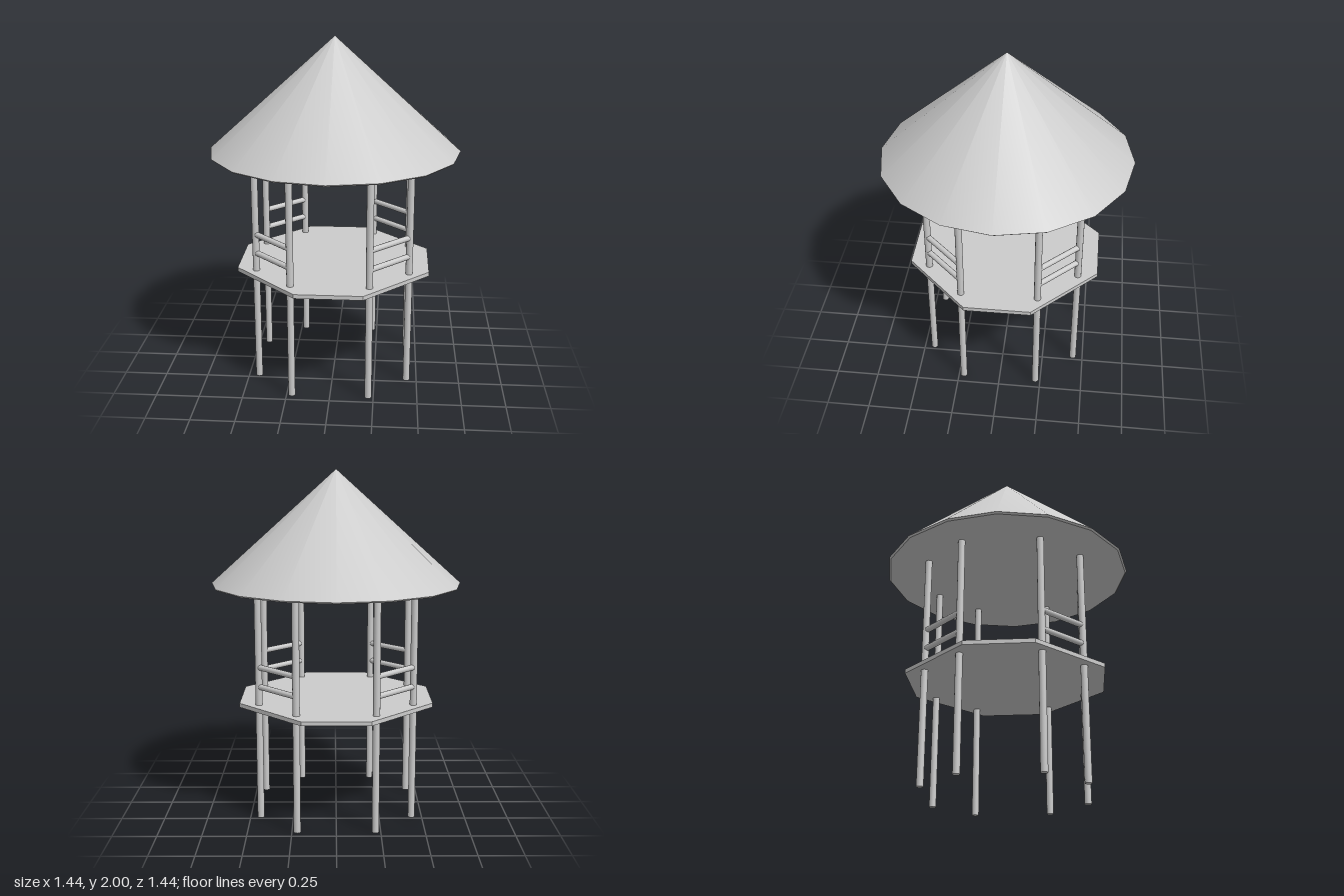
import * as THREE from 'three';

const material = new THREE.MeshStandardMaterial({ color: 0xcccccc });

function addPart(parent, name, geometry, x = 0, y = 0, z = 0) {
  const mesh = new THREE.Mesh(geometry, material);
  mesh.name = name;
  mesh.position.set(x, y, z);
  parent.add(mesh);
  return mesh;
}

export function createModel() {
  const model = new THREE.Group();
  model.name = 'raisedPavilion';

  // Conical roof with a thin closed rim underneath
  const roofBase = 1.352, rim = 0.009;
  const roof = new THREE.Group();
  roof.name = 'roof';
  addPart(roof, 'roofCone', new THREE.ConeGeometry(0.72, 2 - roofBase, 16, 1, true), 0, (2 + roofBase) / 2, 0);
  addPart(roof, 'roofRim', new THREE.CylinderGeometry(0.72, 0.71, rim, 16), 0, roofBase - rim / 2, 0);
  model.add(roof);

  // Eight-sided platform: a square with large cut corners
  const a = 0.555, b = 0.19, thickness = 0.024;
  const outline = [[a, -b], [a, b], [b, a], [-b, a], [-a, b], [-a, -b], [-b, -a], [b, -a]];
  const shape = new THREE.Shape(outline.map(([x, y]) => new THREE.Vector2(x, y)));
  const floor = new THREE.ExtrudeGeometry(shape, { depth: thickness, bevelEnabled: false });
  floor.rotateX(-Math.PI / 2);
  addPart(model, 'platform', floor, 0, 0.656, 0);

  // One pair of posts joined by two rails at each corner
  const far = 0.44, near = 0.22, postHeight = 1.346;
  const post = new THREE.CylinderGeometry(0.02, 0.02, postHeight, 12);
  const rail = new THREE.CylinderGeometry(0.0165, 0.0165, (far - near) * Math.SQRT2, 12);
  rail.rotateZ(Math.PI / 2);
  rail.rotateY(Math.PI / 4);
  const mid = (far + near) / 2;
  for (let i = 0; i < 4; i++) {
    const corner = new THREE.Group();
    corner.name = `postPair${i + 1}`;
    corner.rotation.y = i * Math.PI / 2;
    addPart(corner, 'post', post, far, postHeight / 2, near);
    addPart(corner, 'post', post, near, postHeight / 2, far);
    for (const y of [0.787, 0.9]) addPart(corner, 'rail', rail, mid, y, mid);
    model.add(corner);
  }
  return model;
}
